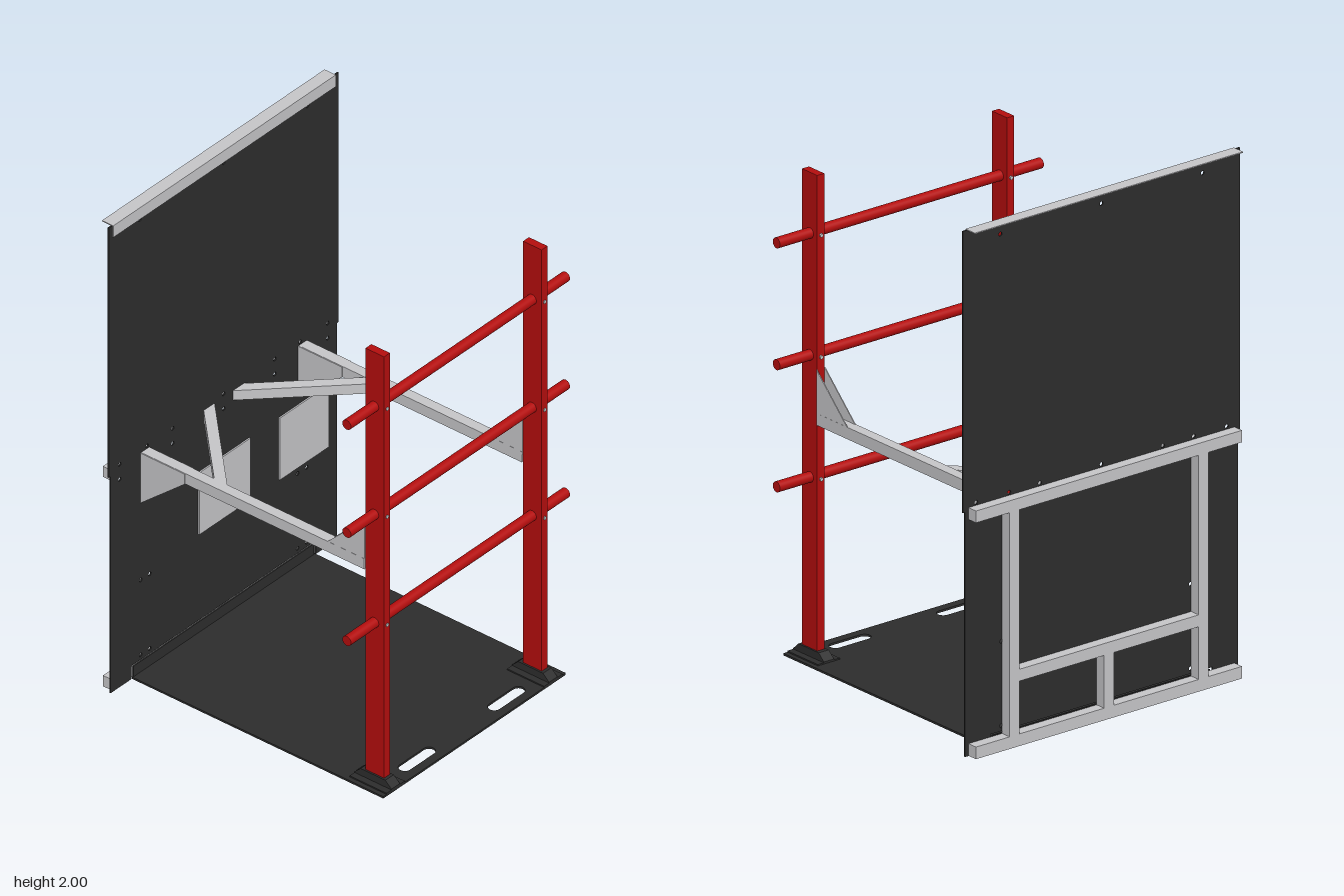
import * as THREE from 'three';

const paint = (name, color) => {
  const m = new THREE.MeshStandardMaterial({ color });
  m.name = name;
  return m;
};

export function createModel() {
  const model = new THREE.Group();
  model.name = 'safetyFrame';
  const charcoal = paint('charcoal sheet', 0x2d2d2d);
  const red = paint('red paint', 0xb50e0e);
  const grey = paint('galvanised grey', 0xc6c6c9);

  const add = (name, geo, mat, parent = model) => {
    const m = new THREE.Mesh(geo, mat);
    m.name = name;
    parent.add(m);
    return m;
  };
  // Box given by its limits on each axis
  const box = (name, mat, [x0, x1], [y0, y1], [z0, z1], parent) => {
    const g = new THREE.BoxGeometry(x1 - x0, y1 - y0, z1 - z0);
    g.translate((x0 + x1) / 2, (y0 + y1) / 2, (z0 + z1) / 2);
    return add(name, g, mat, parent);
  };
  const polygon = pts => new THREE.Shape(pts.map(p => new THREE.Vector2(...p)));
  const extrude = (shape, depth) =>
    new THREE.ExtrudeGeometry(shape, { depth, bevelEnabled: false, curveSegments: 5 });
  // Outline in x, y standing across z
  const sidePlate = (name, mat, pts, z, t, parent) =>
    add(name, extrude(polygon(pts), t).translate(0, 0, z - t / 2), mat, parent);
  // Outline in x, z lying flat between two heights
  const flatPlate = (name, mat, shape, y0, y1) =>
    add(name, extrude(shape, y1 - y0).rotateX(Math.PI / 2).translate(0, y1, 0), mat);
  // Outline in z, y standing across x
  const wallPlate = (name, shape, holes) => {
    for (const [z, y] of holes) {
      shape.holes.push(new THREE.Path().absarc(-z, y, 0.008, 0, Math.PI * 2, true));
    }
    const g = extrude(shape, 0.006).rotateY(Math.PI / 2).translate(-0.558, 0, 0);
    return add(name, g, charcoal);
  };

  // Back wall in two sheets, drilled for the frame fixings
  const upperHoles = [], lowerHoles = [];
  for (const z of [-0.57, -0.42, -0.28, 0, 0.28, 0.42, 0.57]) {
    upperHoles.push([z, 0.956]);
    lowerHoles.push([z, 0.892]);
  }
  for (const z of [-0.46, 0, 0.46]) upperHoles.push([z, 1.945]);
  for (const y of [0.08, 0.4]) {
    for (const z of [-0.455, -0.405, 0.405, 0.455]) lowerHoles.push([z, y]);
  }
  wallPlate('upperWallPanel',
    polygon([[-0.63, 0.93], [0.63, 0.93], [0.63, 1.998], [-0.63, 1.998]]), upperHoles);
  wallPlate('lowerWallPanel', polygon([
    [-0.62, 0.003], [-0.505, 0.003], [-0.505, 0.06], [0.505, 0.06],
    [0.505, 0.003], [0.62, 0.003], [0.62, 0.93], [-0.62, 0.93],
  ]), lowerHoles);

  // Angle strip along the top edge
  box('topAngleFace', grey, [-0.552, -0.548], [1.95, 2], [-0.61, 0.61]);
  box('topAngleFlange', grey, [-0.6, -0.552], [1.996, 2], [-0.61, 0.61]);

  // Thin cover plates on the wall
  box('coverPlate', grey, [-0.552, -0.546], [0.43, 0.695], [-0.14, 0.14]);
  box('coverPlate', grey, [-0.552, -0.546], [0.43, 0.695], [-0.57, -0.3]);

  // Support frame behind the wall
  const frame = new THREE.Group();
  frame.name = 'supportFrame';
  model.add(frame);
  const depth = [-0.6, -0.558];
  box('topRail', grey, depth, [0.9, 0.945], [-0.605, 0.605], frame);
  box('bottomRail', grey, depth, [0.004, 0.05], [-0.605, 0.605], frame);
  box('middleRail', grey, depth, [0.25, 0.295], [-0.41, 0.41], frame);
  box('centreStud', grey, depth, [0.05, 0.25], [-0.022, 0.022], frame);
  for (const s of [-1, 1]) {
    box('frameUpright', grey, depth, [0.05, 0.9], [s * 0.43 - 0.022, s * 0.43 + 0.022], frame);
  }

  // Floor sheet with two hand slots and an upturned lip
  const floor = polygon([[-0.555, -0.5], [0.6, -0.5], [0.6, 0.5], [-0.555, 0.5]]);
  for (const s of [-1, 1]) {
    const z0 = s * 0.245 - 0.09, z1 = s * 0.245 + 0.09, r = 0.024;
    const slot = new THREE.Path();
    slot.absarc(0.541, z0 + r, r, Math.PI, Math.PI * 2, false);
    slot.absarc(0.541, z1 - r, r, 0, Math.PI, false);
    slot.closePath();
    floor.holes.push(slot);
  }
  flatPlate('floor', charcoal, floor, 0, 0.008);
  box('floorLip', charcoal, [-0.557, -0.551], [0.004, 0.053], [-0.495, 0.495]);

  for (const s of [-1, 1]) {
    const zc = s * 0.432;
    const side = new THREE.Group();
    side.name = s > 0 ? 'leftSide' : 'rightSide';
    model.add(side);

    // Horizontal arm with paired corner gussets
    box('arm', grey, [-0.552, 0.473], [0.9, 0.945], [zc - 0.021, zc + 0.021], side);
    for (const d of [-1, 1]) {
      sidePlate('lowerGusset', grey,
        [[-0.552, 0.73], [-0.35, 0.9], [-0.35, 0.944], [-0.552, 0.944]], zc + d * 0.0225, 0.004, side);
      sidePlate('upperGusset', grey,
        [[0.305, 0.945], [0.305, 0.935], [0.475, 0.935], [0.475, 1.11]], zc + d * 0.0185, 0.004, side);
    }

    // Diagonal brace from wall to arm
    flatPlate('diagonalBrace', grey, polygon([
      [-0.552, s * 0.05], [-0.552, s * 0.11], [-0.25, s * 0.412], [-0.19, s * 0.412],
    ]), 0.902, 0.943);

    // Post
    box('post', red, [0.475, 0.56], [0.03, 1.845], [zc - 0.016, zc + 0.016], side);

    // Post foot
    box('footPlate', charcoal, [0.43, 0.6], [0.006, 0.013], [zc - 0.05, zc + 0.05], side);
    sidePlate('footSocket', charcoal,
      [[0.43, 0.01], [0.6, 0.01], [0.6, 0.016], [0.572, 0.042], [0.458, 0.042], [0.43, 0.016]],
      zc, 0.046, side);

    // Bolts through post and rungs
    for (const y of [0.69, 1.153, 1.615]) {
      add('rungBolt', new THREE.CylinderGeometry(0.007, 0.007, 0.095, 10)
        .rotateZ(Math.PI / 2).translate(0.516, y, zc), grey, side);
    }
  }

  // Rungs
  for (const y of [0.69, 1.153, 1.615]) {
    add('rung', new THREE.CylinderGeometry(0.02, 0.02, 1.2, 24)
      .rotateX(Math.PI / 2).translate(0.516, y, 0), red);
  }
  return model;
}
